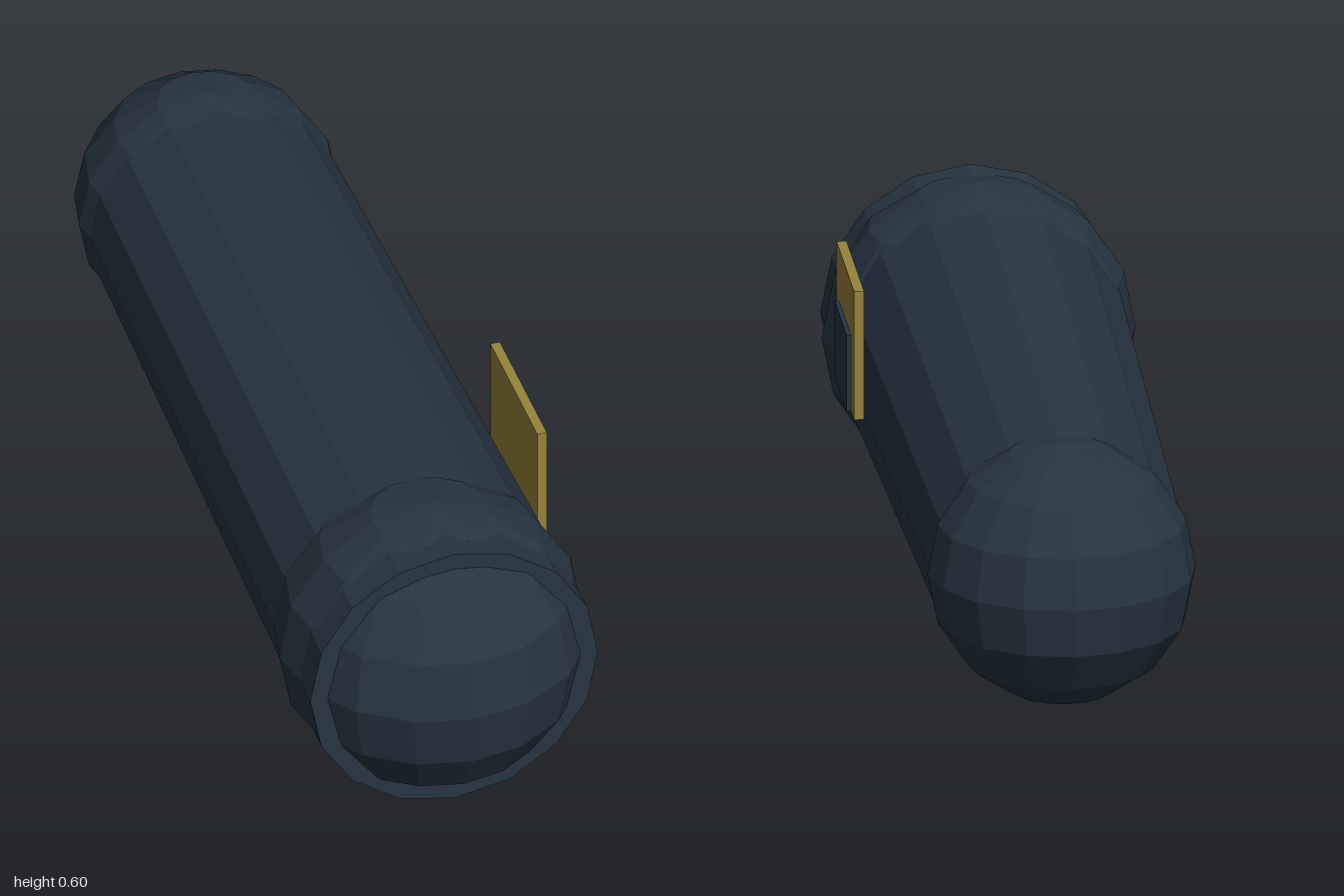
import * as THREE from 'three';

export function createModel() {
  const model = new THREE.Group();
  model.name = 'capsule';

  const navy = new THREE.MeshStandardMaterial({ color: 0x263442, flatShading: true });
  navy.name = 'dark navy';
  const gold = new THREE.MeshStandardMaterial({ color: 0x96843a, flatShading: true });
  gold.name = 'dull gold';

  function add(name, geometry, material, x, y, z) {
    const mesh = new THREE.Mesh(geometry, material);
    mesh.name = name;
    mesh.position.set(x, y, z);
    model.add(mesh);
  }

  const SIDES = 16, axisX = -0.0015, axisY = 0.3;

  // Tapered tube lying along z, its wide end at the front
  const frontZ = 0.855, backZ = -0.745;
  const tube = new THREE.CylinderGeometry(0.284, 0.246, frontZ - backZ, SIDES).rotateX(Math.PI / 2);
  add('body', tube, navy, axisX, axisY, (frontZ + backZ) / 2);

  // Rounded ends
  add('frontDome', new THREE.SphereGeometry(0.2985, SIDES, 8), navy, axisX, axisY, 0.7015);
  add('backDome', new THREE.SphereGeometry(0.255, SIDES, 8), navy, axisX, axisY, -0.745);

  // Clasp on the left side: gold plate with a dark panel in front
  add('claspPlate', new THREE.BoxGeometry(0.019, 0.255, 0.306), gold, 0.2815, 0.4305, 0.342);
  add('claspPanel', new THREE.BoxGeometry(0.009, 0.152, 0.206), navy, 0.2955, 0.379, 0.342);

  return model;
}
